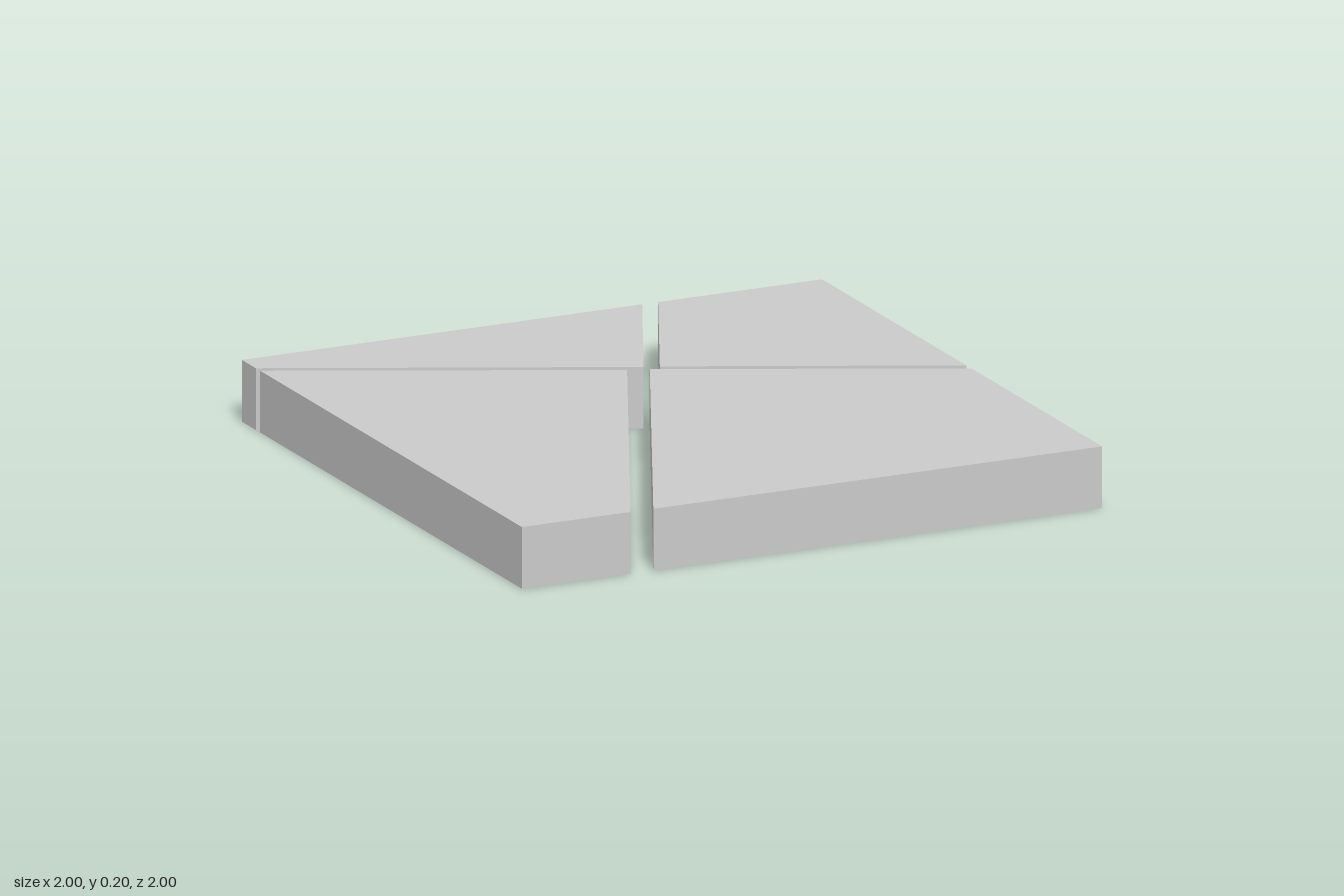
import * as THREE from 'three';

const HEIGHT = 0.2;

// Outline corners of each slab piece, as [x, z]
const pieces = {
  backRightSlab: [[-1, -1], [0.38, -1], [0.09, -0.39], [-1, -0.9]],
  backLeftSlab: [[0.435, -1], [1, -1], [1, 0.03], [0.138, -0.373]],
  frontRightSlab: [[-1, -0.87], [0.03, -0.383], [-0.625, 1], [-1, 1]],
  frontLeftSlab: [[0.097, -0.36], [1, 0.065], [1, 1], [-0.547, 1]],
};

export function createModel() {
  const model = new THREE.Group();
  model.name = 'splitSlab';
  const material = new THREE.MeshStandardMaterial({ color: 0xcccccc, flatShading: true });

  // Each piece is its outline raised to the slab height
  for (const [name, corners] of Object.entries(pieces)) {
    const shape = new THREE.Shape(corners.map(([x, z]) => new THREE.Vector2(x, -z)));
    const geometry = new THREE.ExtrudeGeometry(shape, { depth: HEIGHT, bevelEnabled: false });
    geometry.rotateX(-Math.PI / 2);
    const mesh = new THREE.Mesh(geometry, material);
    mesh.name = name;
    model.add(mesh);
  }
  return model;
}
